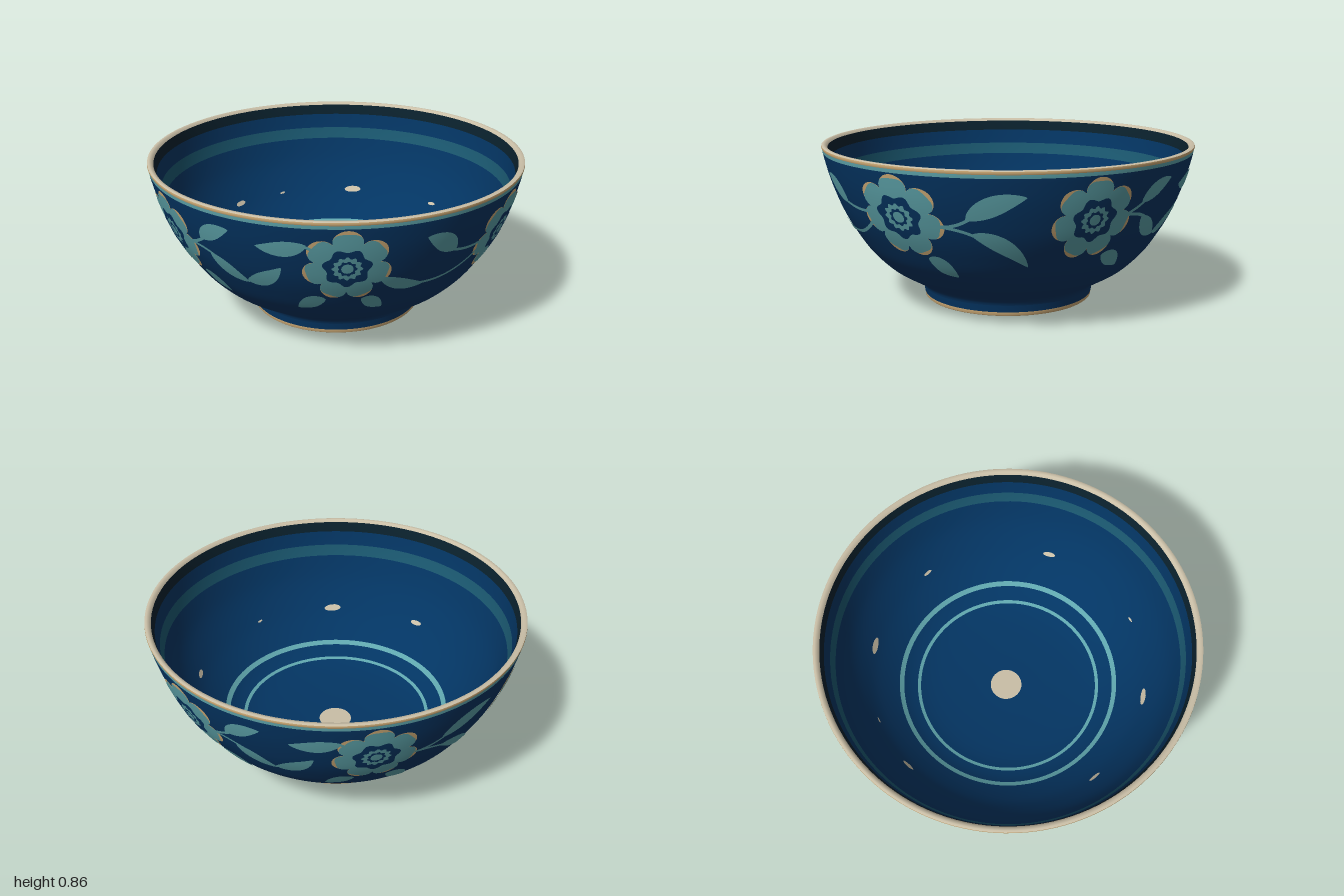
import * as THREE from 'three';

const mat = (name, color, side = THREE.FrontSide) => {
  const m = new THREE.MeshStandardMaterial({ color, side });
  m.name = name;
  return m;
};

// Sampled smooth profile of [radius, height] points
const sample = pts => new THREE.SplineCurve(pts.map(p => new THREE.Vector2(...p))).getPoints(240);

const outer = sample([[0.47, 0.06], [0.476, 0.075], [0.5, 0.1], [0.58, 0.145], [0.665, 0.2], [0.76, 0.295],
  [0.832, 0.4], [0.888, 0.5], [0.93, 0.6], [0.964, 0.7], [0.99, 0.8], [0.997, 0.84]]);
const inner = sample([[0, 0.095], [0.2, 0.1], [0.4, 0.12], [0.515, 0.15], [0.61, 0.2], [0.725, 0.3],
  [0.805, 0.4], [0.865, 0.5], [0.905, 0.6], [0.935, 0.7], [0.957, 0.8], [0.967, 0.842]]);

// Point on a rising profile where its coordinate `key` equals v
function at(profile, key, v) {
  let i = 1;
  while (i < profile.length - 1 && profile[i][key] < v) i++;
  const a = profile[i - 1], b = profile[i];
  return a.clone().lerp(b, (v - a[key]) / (b[key] - a[key]));
}

// Evenly spaced profile points from v0 to v1
const slice = (profile, key, v0, v1, n) =>
  Array.from({ length: n + 1 }, (_, i) => at(profile, key, v0 + (v1 - v0) * i / n));

export function createModel() {
  const bowl = new THREE.Group();
  bowl.name = 'bowl';

  const navy = mat('navyGlaze', 0x033563);
  const teal = mat('tealGlaze', 0x5fa6ad);
  const tan = mat('tanEdge', 0xd4b07a);
  const cream = mat('creamClay', 0xcabfa7, THREE.DoubleSide);
  const dimTeal = mat('dimTealGlaze', 0x1a5870);
  const dark = mat('darkGlaze', 0x0a212d);

  const add = (name, geometry, material, parent = bowl) => {
    const mesh = new THREE.Mesh(geometry, material);
    mesh.name = name;
    parent.add(mesh);
    return mesh;
  };
  const lathe = (name, pts, material) =>
    add(name, new THREE.LatheGeometry(pts.map(p => p.isVector2 ? p : new THREE.Vector2(...p)), 128), material);

  // Foot and underside
  lathe('underside', [[0, 0.012], [0.418, 0.012]], navy);
  lathe('footInnerWall', [[0.418, 0.012], [0.421, 0.003]], navy);
  lathe('footRing', [[0.421, 0.003], [0.428, 0], [0.455, 0]], cream);
  lathe('footEdge', [[0.455, 0], [0.461, 0.005], [0.463, 0.022]], tan);
  lathe('footWall', [[0.463, 0.022], [0.466, 0.04], [0.47, 0.06]], navy);

  // Outer wall, painted line and rim
  lathe('outerWall', slice(outer, 'y', 0.06, 0.818, 70), navy);
  lathe('outerLine', slice(outer, 'y', 0.818, 0.836, 3), teal);
  lathe('rimEdge', [at(outer, 'y', 0.836), [1, 0.844], [0.999, 0.852]], tan);
  lathe('rimTop', [[0.999, 0.852], [0.99, 0.856], [0.977, 0.855], [0.967, 0.842]], cream);

  // Inner wall in coloured bands, from the rim down to the centre
  [['innerDarkBand', 0.967, 0.954, dark], ['innerUpperWall', 0.954, 0.936, navy],
    ['innerFadedBand', 0.936, 0.918, dimTeal], ['innerWall', 0.918, 0.622, navy],
    ['wideFloorRing', 0.622, 0.598, teal], ['floorBetweenRings', 0.598, 0.523, navy],
    ['narrowFloorRing', 0.523, 0.505, teal], ['floor', 0.505, 0, navy],
  ].forEach(([name, r0, r1, m]) => lathe(name, slice(inner, 'x', r0, r1, 24), m));

  // Bare spot in the middle
  const spot = add('centreSpot', new THREE.CircleGeometry(0.09, 32).rotateX(-Math.PI / 2), cream);
  spot.position.set(0, 0.102, -0.013);

  // Flecks on the inner wall: angle in degrees, half length
  [[20.5, 0.05], [56, 0.016], [103.5, 0.036], [159.5, 0.026], [200.5, 0.05], [234, 0.016], [257, 0.036],
    [339.5, 0.036]].forEach(([deg, size]) => {
    const g = new THREE.CircleGeometry(1, 14);
    const p = g.attributes.position;
    for (let k = 0; k < p.count; k++) {
      const r = 0.769 - 0.25 * size * p.getY(k);
      const a = deg * Math.PI / 180 + size * p.getX(k) / r + 0.008 * p.getY(k);
      p.setXYZ(k, (r - 0.003) * Math.sin(a), at(inner, 'x', r).y + 0.003, (r - 0.003) * Math.cos(a));
    }
    g.computeVertexNormals();
    add('innerFleck', g, cream);
  });

  // Painted patch laid on the outer wall: fn(s, t) gives offset along the wall and height
  function patch(name, parent, angle, lift, ns, nt, fn, material) {
    const g = new THREE.PlaneGeometry(1, 1, ns, nt);
    const p = g.attributes.position;
    for (let i = 0; i < p.count; i++) {
      const [u, y] = fn(p.getX(i) + 0.5, p.getY(i) + 0.5);
      const r = at(outer, 'y', y).x + lift;
      const a = angle + u / 0.93;
      p.setXYZ(i, r * Math.sin(a), y - lift * 0.4, r * Math.cos(a));
    }
    g.computeVertexNormals();
    add(name, g, material, parent);
  }

  // Ring or disc with a radius rule for its inner and outer edges
  const disc = (name, parent, angle, wide, lift, r0, r1, material) =>
    patch(name, parent, angle, lift, 8, 112, (s, t) => {
      const a = t * Math.PI * 2;
      const r = r0(a) + (r1(a) - r0(a)) * s;
      return [wide * r * Math.cos(a), 0.6 + r * Math.sin(a)];
    }, material);

  // Ribbon along a bent line, with a half-width rule
  function ribbon(name, parent, angle, lift, [x0, y0, x1, y1, bend], width, material) {
    const dx = x1 - x0, dy = y1 - y0;
    const curve = new THREE.QuadraticBezierCurve(new THREE.Vector2(x0, y0),
      new THREE.Vector2((x0 + x1) / 2 - dy * bend, (y0 + y1) / 2 + dx * bend), new THREE.Vector2(x1, y1));
    patch(name, parent, angle, lift, 20, 4, (s, t) => {
      const c = curve.getPoint(s), d = curve.getTangent(s), w = width(s) * (t * 2 - 1);
      return [c.x - d.y * w, c.y + d.x * w];
    }, material);
  }

  // Seven-petalled flowers: angle in degrees, widening
  const lobe = a => Math.abs(Math.cos(3.5 * (a - Math.PI / 2)));
  const petal = a => 0.213 * (0.72 + 0.28 * Math.pow(lobe(a), 0.65));
  const zero = () => 0;
  [[31.5, 1.01], [90, 1.14], [149, 1.01], [210.5, 1.01], [270, 1.14], [328.5, 1.01]].forEach(([deg, wide]) => {
    const angle = deg * Math.PI / 180;
    const flower = new THREE.Group();
    flower.name = 'flower';
    bowl.add(flower);
    disc('petalEdges', flower, angle, wide, 0.003, zero, petal, tan);
    disc('petals', flower, angle, wide, 0.005, zero, a => petal(a) - 0.019 * Math.pow(lobe(a), 3), teal);
    disc('flowerEye', flower, angle, wide, 0.007, a => 0.066 + 0.006 * Math.cos(a * 12),
      a => 0.106 + 0.01 * Math.cos(a * 7 - Math.PI / 2), navy);
    disc('flowerInnerRing', flower, angle, wide, 0.007, () => 0.028, a => 0.042 + 0.004 * Math.cos(a * 9), navy);
  });

  // Leaves and stems between flowers: x0, y0, x1, y1, bend, half width
  const sprayA = {
    leaves: [[-0.235, 0.655, -0.035, 0.755, 0.12, 0.042], [-0.2, 0.58, 0, 0.45, -0.12, 0.042],
      [-0.01, 0.46, 0.2, 0.585, -0.2, 0.042], [-0.39, 0.395, -0.22, 0.31, 0.12, 0.042],
      [0.33, 0.73, 0.09, 0.7, 0.15, 0.043], [0.405, 0.39, 0.24, 0.31, -0.12, 0.042]],
    stems: [[-0.34, 0.6, -0.2, 0.67, -0.1], [-0.34, 0.6, -0.17, 0.57, 0.15], [0.3, 0.73, 0.4, 0.67, 0.1]],
  };
  const sprayB = {
    leaves: [[-0.14, 0.615, 0.14, 0.73, 0.12, 0.05], [-0.12, 0.54, 0.165, 0.36, 0.18, 0.043],
      [-0.39, 0.385, -0.24, 0.285, 0.1, 0.047]],
    stems: [[-0.28, 0.57, -0.12, 0.62, -0.15], [-0.28, 0.57, -0.1, 0.53, 0.1]],
  };
  const sprayC = {
    leaves: [[0.09, 0.615, -0.1, 0.735, -0.12, 0.05], [-0.3, 0.53, -0.04, 0.445, -0.15, 0.036],
      [-0.38, 0.39, -0.25, 0.31, 0.1, 0.042]],
    stems: [[0.07, 0.62, 0.28, 0.6, -0.1], [-0.06, 0.45, 0.3, 0.56, -0.2], [-0.36, 0.54, -0.27, 0.52, 0]],
  };
  [sprayA, sprayC, sprayB, sprayA, sprayB, sprayC].forEach(({ leaves, stems }, i) => {
    const angle = i * Math.PI / 3;
    const spray = new THREE.Group();
    spray.name = 'leafSpray';
    bowl.add(spray);
    leaves.forEach(l => ribbon('leaf', spray, angle, 0.004, l,
      s => l[5] * Math.pow(Math.max(0, Math.sin(Math.PI * Math.pow(s, 0.85))), 0.8), teal));
    stems.forEach(l => ribbon('stem', spray, angle, 0.0035, l, () => 0.008, teal));
  });

  return bowl;
}
